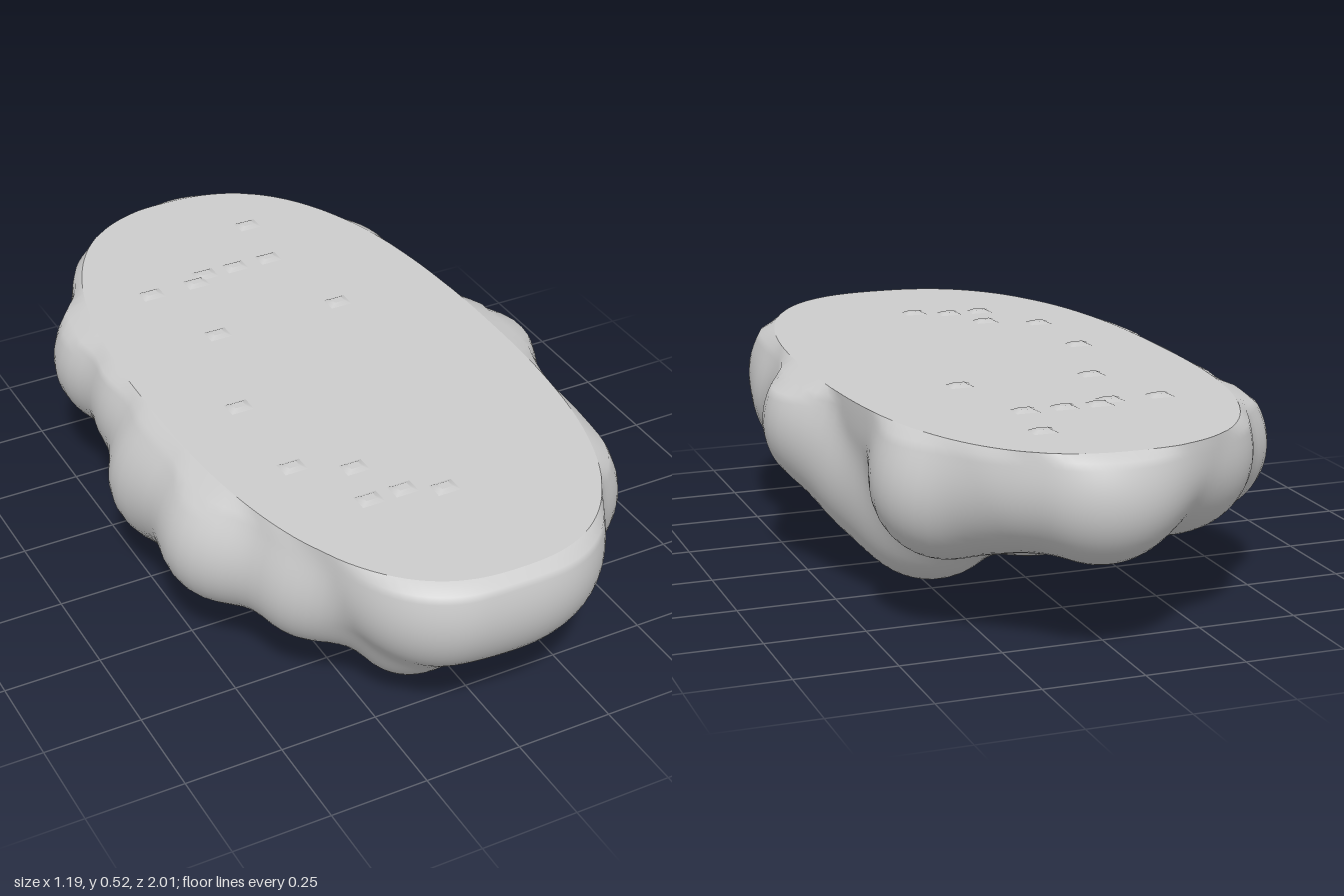
import * as THREE from 'three';

const TOP = 0.51, SEGMENTS = 160, RINGS = 48;

// Rounded lumps: x, y, z, radius
const lumps = [
  // front end
  [-0.1, 0.39, 0.77, 0.205], [0.07, 0.39, 0.77, 0.205], [-0.13, 0.21, 0.68, 0.135], [0.16, 0.25, 0.66, 0.165],
  // -x side
  [-0.3, 0.32, 0.54, 0.165], [-0.415, 0.335, 0.32, 0.18], [-0.41, 0.31, 0.02, 0.185], [-0.41, 0.34, 0.16, 0.14],
  [-0.37, 0.37, -0.22, 0.16], [-0.37, 0.37, -0.46, 0.17], [-0.22, 0.4, -0.65, 0.16],
  // +x side
  [0.32, 0.37, 0.58, 0.16], [0.34, 0.34, 0.42, 0.165], [0.42, 0.38, 0.03, 0.175], [0.38, 0.37, 0.22, 0.13],
  [0.29, 0.19, 0.25, 0.13], [0.32, 0.35, -0.55, 0.165],
  // back end
  [0.04, 0.38, -0.83, 0.15], [0.19, 0.4, -0.68, 0.15],
  // underside
  [-0.13, 0.14, 0.2, 0.14], [0.25, 0.23, -0.24, 0.2], [0.33, 0.28, -0.1, 0.17], [-0.18, 0.29, -0.18, 0.18],
  [0.06, 0.25, 0.02, 0.185], [0.05, 0.31, -0.42, 0.18], [0, 0.28, 0.45, 0.165], [-0.2, 0.27, 0.42, 0.15],
];

function smoothMin(a, b, k) {
  const h = Math.max(k - Math.abs(a - b), 0) / k;
  return Math.min(a, b) - h * h * k * 0.25;
}

const superRadius = (...v) => v.reduce((sum, n) => sum + Math.abs(n) ** 2.5, 0) ** 0.4;

// Distance to the blended body, negative inside
function field(p) {
  const x = p.x / 0.475, z = (p.z - 0.01) / 0.955;
  let d = (superRadius(x, (p.y - 0.47) / 0.31, z) - 1) * 0.31;
  for (const [lx, ly, lz, r] of lumps) {
    d = smoothMin(d, Math.hypot(p.x - lx, p.y - ly, p.z - lz) - r, 0.09);
  }
  // Chamfer the lumps down to the oval rim
  const rim = (superRadius(x, z) - 1) * 0.47 - 2.5 * (TOP - p.y);
  return Math.max(d, rim);
}

// Outermost surface point along a ray from the spine of the flat top
function surfacePoint(origin, direction) {
  const at = t => origin.clone().addScaledVector(direction, t);
  let outer = 1;
  while (outer > 0.02 && field(at(outer - 0.012)) > 0) outer -= 0.012;
  let inner = outer - 0.012;
  for (let i = 0; i < 14; i++) {
    const mid = (inner + outer) / 2;
    if (field(at(mid)) > 0) outer = mid; else inner = mid;
  }
  return at(inner);
}

function buildGeometry(positions, indices) {
  const geometry = new THREE.BufferGeometry();
  geometry.setAttribute('position', new THREE.Float32BufferAttribute(positions, 3));
  geometry.setIndex(indices);
  geometry.computeVertexNormals();
  return geometry;
}

export function createModel() {
  const model = new THREE.Group();
  const material = new THREE.MeshStandardMaterial({ color: 0xcccccc });
  const add = (name, geometry) => {
    const mesh = new THREE.Mesh(geometry, material);
    mesh.name = name;
    model.add(mesh);
    return mesh;
  };

  // Lumpy sides and underside, in rings from the rim down
  const positions = [], indices = [];
  for (let i = 0; i <= RINGS; i++) {
    const e = (i / RINGS) * Math.PI / 2;
    for (let j = 0; j < SEGMENTS; j++) {
      const a = (j / SEGMENTS) * Math.PI * 2;
      const x = Math.cos(a) * Math.cos(e), z = Math.sin(a) * Math.cos(e);
      const direction = new THREE.Vector3(0.5 * x, -0.5 * Math.sin(e), 0.45 * z).normalize();
      positions.push(...surfacePoint(new THREE.Vector3(0, TOP, 0.55 * z), direction).toArray());
    }
  }
  for (let i = 0; i < RINGS; i++) {
    for (let j = 0; j < SEGMENTS; j++) {
      const a = i * SEGMENTS + j, b = i * SEGMENTS + (j + 1) % SEGMENTS;
      indices.push(a, b, a + SEGMENTS, b, b + SEGMENTS, a + SEGMENTS);
    }
  }
  add('lumpyUnderside', buildGeometry(positions, indices));

  // Flat top fanned out to the rim
  const capPositions = [0, TOP, 0, ...positions.slice(0, SEGMENTS * 3)], capIndices = [];
  for (let j = 0; j < SEGMENTS; j++) capIndices.push(0, 1 + (j + 1) % SEGMENTS, 1 + j);
  add('flatTop', buildGeometry(capPositions, capIndices));

  // Small raised chips on the top: x, z
  const chips = [
    [0.14, -0.72], [-0.25, -0.5], [-0.12, -0.5], [-0.08, -0.53], [0.01, -0.53], [0.11, -0.53], [-0.18, -0.24],
    [0.17, -0.24], [-0.28, 0.09], [-0.28, 0.38], [-0.15, 0.45], [-0.18, 0.58], [-0.09, 0.58], [0, 0.62],
  ];
  const chip = new THREE.CylinderGeometry(0.02, 0.045, 0.008, 4, 1);
  chip.rotateY(Math.PI / 4);
  chip.scale(1, 1, 0.8);
  for (const [x, z] of chips) add('surfaceChip', chip).position.set(x, TOP + 0.003, z);

  return model;
}
